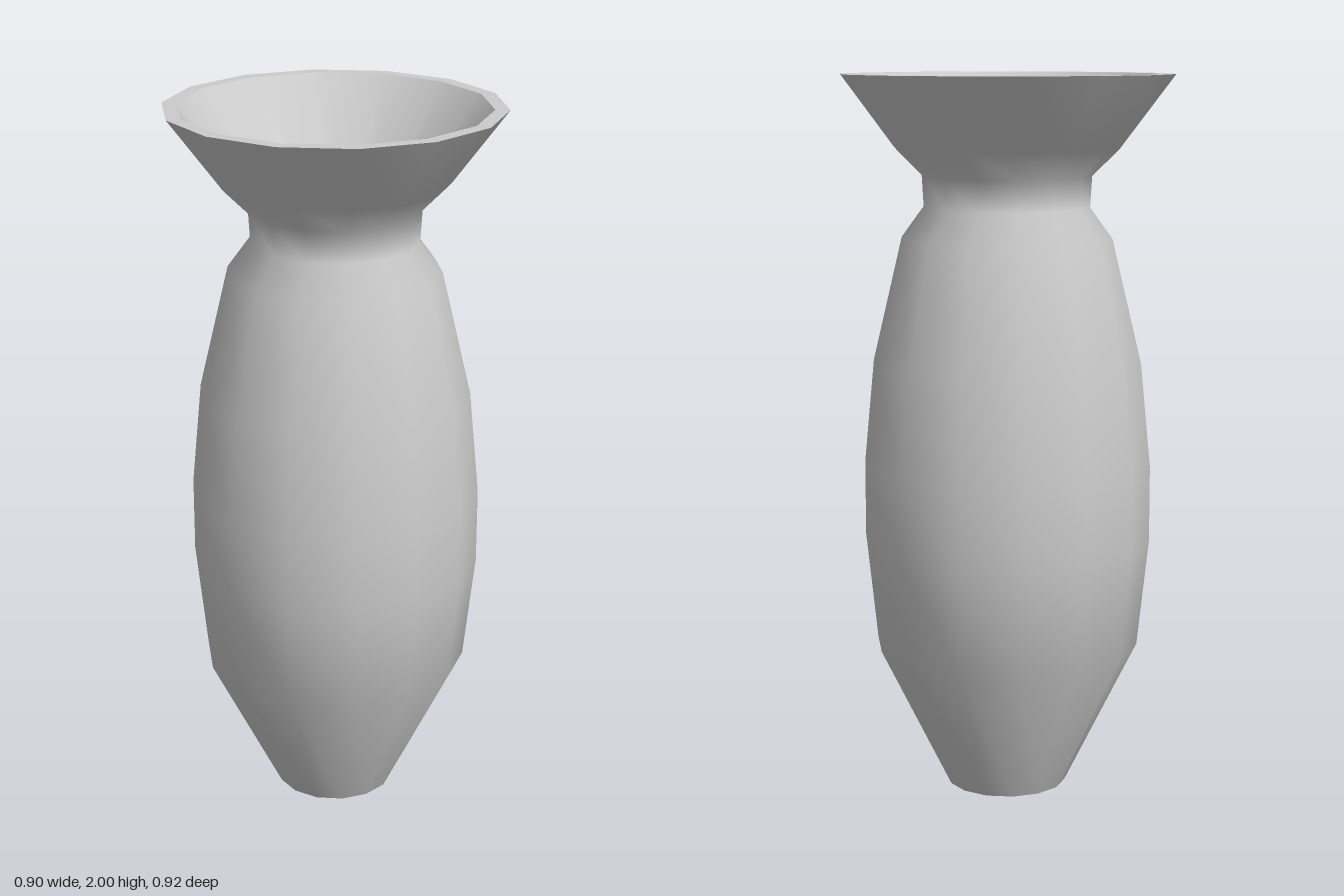
import * as THREE from 'three';

const SIDES = 14;
const material = new THREE.MeshStandardMaterial({ color: 0xcccccc });

// Revolve a [radius, height] profile; separate surfaces keep the edges between them sharp
function revolve(name, profile) {
  const points = profile.map(([r, y]) => new THREE.Vector2(r, y));
  const mesh = new THREE.Mesh(new THREE.LatheGeometry(points, SIDES), material);
  mesh.name = name;
  return mesh;
}

export function createModel() {
  const vase = new THREE.Group();
  vase.name = 'vase';

  vase.add(
    // Underside
    revolve('base', [[0, 0], [0.167, 0]]),
    // Swelling body, narrow neck and flared mouth
    revolve('outerWall', [
      [0.167, 0], [0.37, 0.41], [0.402, 0.71], [0.402, 0.92], [0.374, 1.21],
      [0.292, 1.555], [0.23, 1.64], [0.235, 1.725], [0.31, 1.8], [0.46, 2],
    ]),
    // Flat lip
    revolve('rim', [[0.46, 2], [0.42, 2]]),
    // Funnel inside the mouth
    revolve('innerWall', [[0.42, 2], [0.167, 1.68]]),
    revolve('innerFloor', [[0.167, 1.68], [0, 1.68]]),
  );
  return vase;
}
